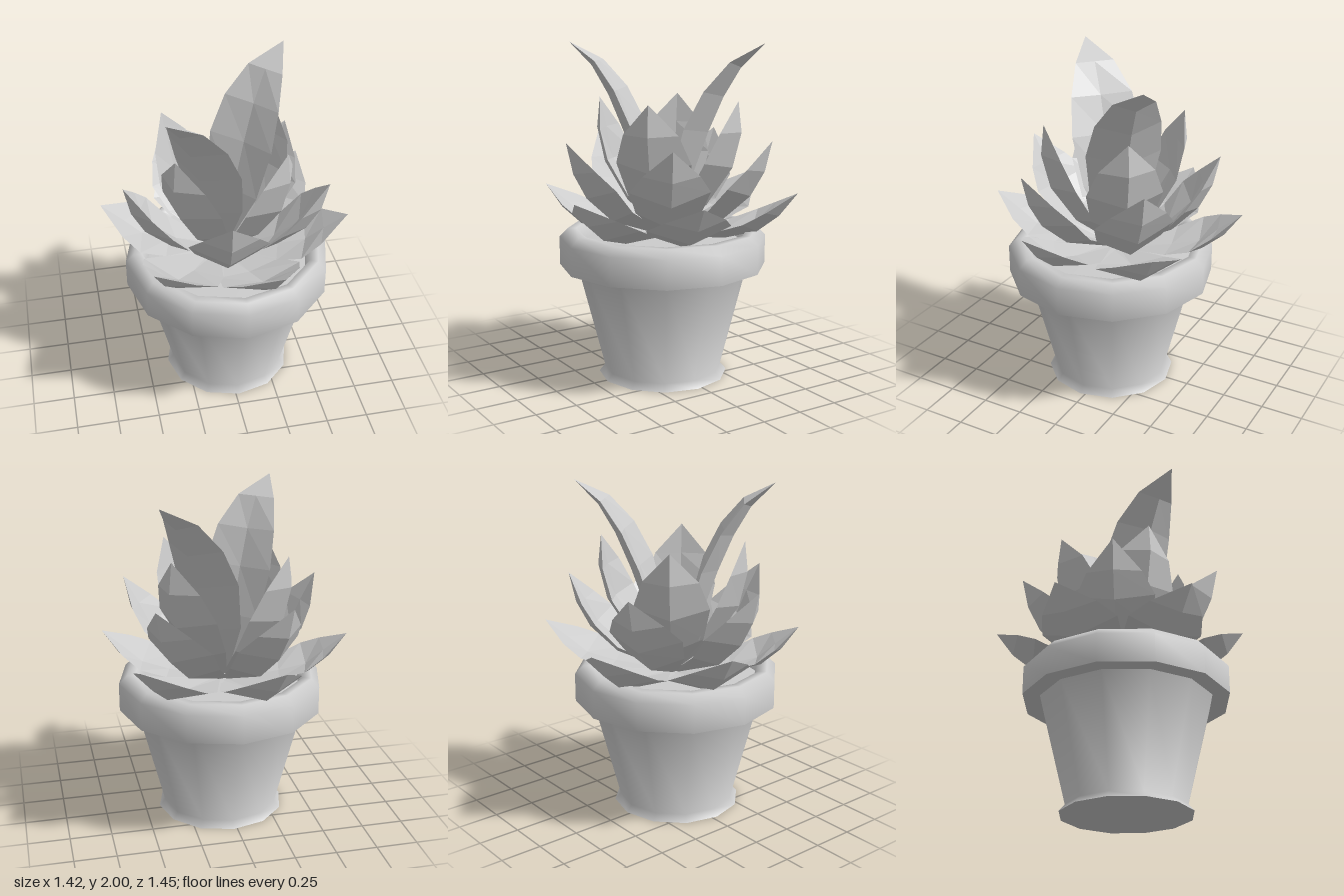
import * as THREE from 'three';
import { toCreasedNormals } from 'three/addons/utils/BufferGeometryUtils.js';

const leafMaterial = new THREE.MeshStandardMaterial({ color: 0xcccccc, flatShading: true });
const potMaterial = new THREE.MeshStandardMaterial({ color: 0xcccccc });

// Twelve-sided turned part from [radius, height] pairs
function turned(name, profile) {
  const points = profile.map(([r, y]) => new THREE.Vector2(r, y));
  const geometry = toCreasedNormals(new THREE.LatheGeometry(points, 12), THREE.MathUtils.degToRad(75));
  const mesh = new THREE.Mesh(geometry, potMaterial);
  mesh.name = name;
  return mesh;
}

// Pointed, cupped leaf growing along +x; rows are [radius, height, halfWidth]
// of the keel, and each cross-section is keel, edge, upper midrib, edge.
function leafGeometry(rows, cup, thickness) {
  const positions = [];
  const index = [];
  rows.forEach(([r, y, w], i) => {
    const before = rows[Math.max(i - 1, 0)];
    const after = rows[Math.min(i + 1, rows.length - 1)];
    const tangent = new THREE.Vector2(after[0] - before[0], after[1] - before[1]).normalize();
    const put = (lift, z) => positions.push(r - tangent.y * lift, y + tangent.x * lift, z);
    put(0, 0);
    put(w * cup, w);
    put(Math.min(thickness, w * cup), 0);
    put(w * cup, -w);
    if (i === rows.length - 1) return;
    for (let k = 0; k < 4; k++) {
      const a = i * 4 + k;
      const b = i * 4 + (k + 1) % 4;
      index.push(a, a + 4, b + 4, a, b + 4, b);
    }
  });
  const geometry = new THREE.BufferGeometry();
  geometry.setAttribute('position', new THREE.Float32BufferAttribute(positions, 3));
  geometry.setIndex(index);
  const flat = geometry.toNonIndexed();
  flat.computeVertexNormals();
  return flat;
}

// Whorls of leaves from the outside in; each leaf is [angle from +x toward +z, reach]
const whorls = [
  {
    name: 'outerLeaf', cup: 0.38, thickness: 0.05,
    leaves: [[16, 1], [74, 1.01], [132, 1], [194, 0.99], [256, 1.02], [317.5, 1.08]],
    rows: [[0.04, 0.84, 0.04], [0.34, 0.85, 0.2], [0.52, 0.9, 0.25], [0.64, 1.0, 0.18], [0.74, 1.14, 0]],
  },
  {
    name: 'middleLeaf', cup: 0.5, thickness: 0.06,
    leaves: [[28.5, 1.02], [96.5, 1.01], [168.5, 0.98], [243.5, 0.98], [318, 1.04]],
    rows: [[0.03, 0.85, 0.04], [0.34, 0.96, 0.19], [0.5, 1.11, 0.23], [0.58, 1.26, 0.16], [0.62, 1.44, 0]],
  },
  {
    name: 'innerLeaf', cup: 0.5, thickness: 0.06,
    leaves: [[45, 1], [140, 0.96], [223, 0.98], [323, 1.05]],
    rows: [[0.03, 0.88, 0.04], [0.25, 1.05, 0.18], [0.4, 1.28, 0.22], [0.45, 1.49, 0.16], [0.43, 1.67, 0]],
  },
  {
    name: 'tallLeaf', cup: 0.45, thickness: 0.06,
    leaves: [[132, 0.98], [318, 1.01]],
    rows: [[0.03, 0.9, 0.04], [0.16, 1.2, 0.18], [0.26, 1.48, 0.22], [0.35, 1.69, 0.19], [0.45, 1.86, 0.12], [0.59, 2.0, 0]],
  },
];

export function createModel() {
  const model = new THREE.Group();
  model.name = 'pottedSucculent';

  // Pot with a flared foot, a heavy rim and soil inside
  const pot = new THREE.Group();
  pot.name = 'pot';
  pot.position.set(0.02, 0, 0.03);
  pot.add(turned('potBody', [[0, 0], [0.39, 0], [0.355, 0.04], [0.52, 0.69]]));
  pot.add(turned('potRim', [[0.51, 0.68], [0.62, 0.68], [0.62, 0.85], [0.57, 0.9], [0.52, 0.9], [0.49, 0.8]]));
  pot.add(turned('soil', [[0.5, 0.81], [0, 0.83]]));
  model.add(pot);

  // Leaves
  for (const { name, leaves, cup, thickness, rows } of whorls) {
    for (const [angle, reach] of leaves) {
      const reached = rows.map(([r, y, w]) => [r * reach, y, w]);
      const leaf = new THREE.Mesh(leafGeometry(reached, cup, thickness), leafMaterial);
      leaf.name = name;
      leaf.rotation.y = -THREE.MathUtils.degToRad(angle);
      model.add(leaf);
    }
  }
  return model;
}
